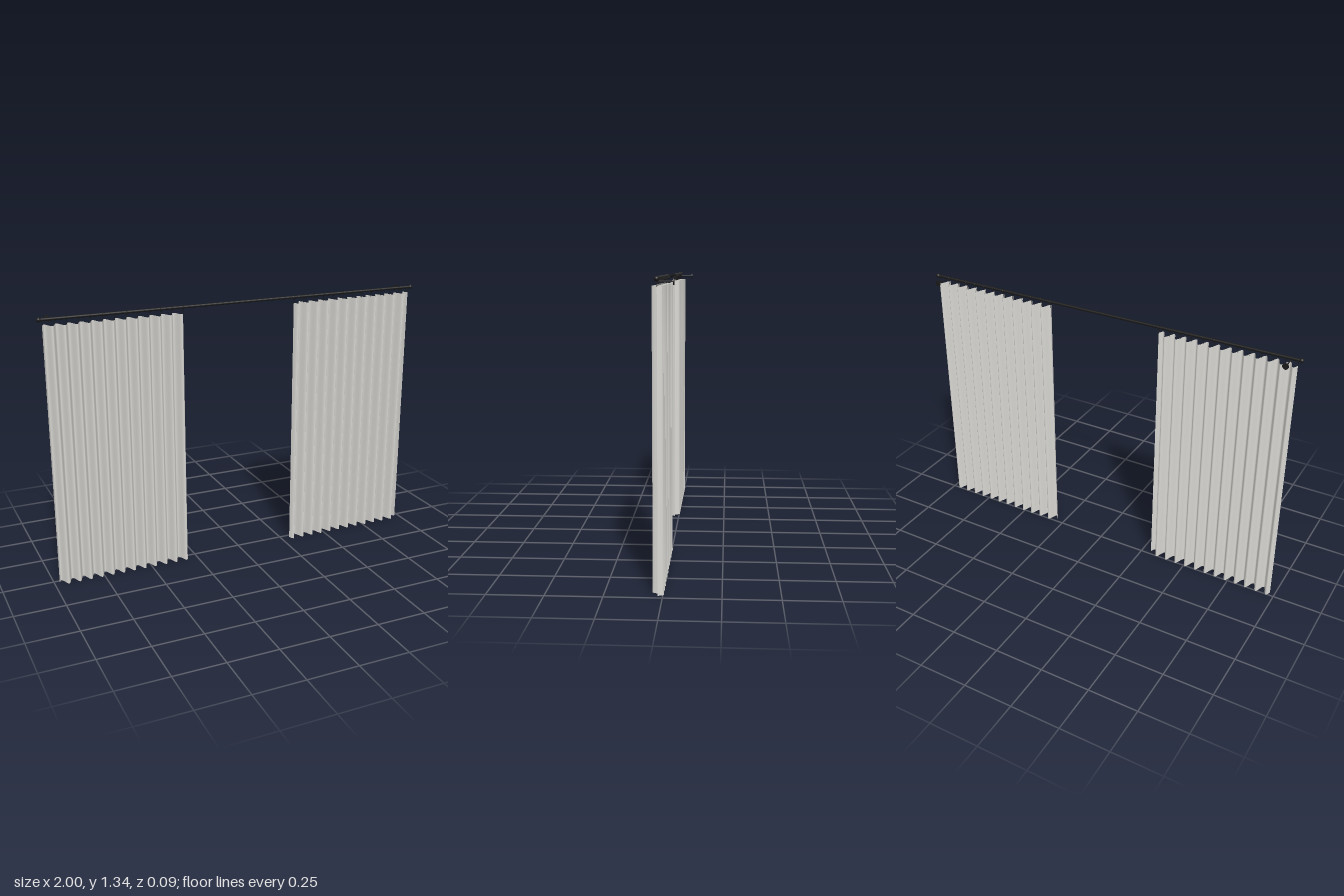
import * as THREE from 'three';

const ROD_Y = 1.324, ROD_Z = 0.021;
const INNER = 0.297, OUTER = 0.975, TOP = 1.295, WAVES = 12;
const PITCH = (OUTER - INNER) / WAVES;

const fabric = new THREE.MeshStandardMaterial({ color: 0xd8d7d2, side: THREE.DoubleSide });
fabric.name = 'pale grey fabric';
const metal = new THREE.MeshStandardMaterial({ color: 0x1a1a1a });
metal.name = 'black metal';

function add(parent, name, geometry, material, x = 0, y = 0, z = 0) {
  const mesh = new THREE.Mesh(geometry, material);
  mesh.name = name;
  mesh.position.set(x, y, z);
  parent.add(mesh);
  return mesh;
}

// Wavy sheet, mirrored by side, with a slightly fuller hem
function curtainGeometry(side) {
  const rows = [0, 0.04, 0.4, 0.85, TOP];
  const columns = WAVES * 12;
  const geometry = new THREE.PlaneGeometry(OUTER - INNER, TOP, columns, rows.length - 1);
  const p = geometry.attributes.position;
  for (let i = 0; i < p.count; i++) {
    const row = rows.length - 1 - Math.floor(i / (columns + 1));
    const x = p.getX(i) + side * (INNER + OUTER) / 2;
    const depth = row === 0 ? 0.026 : 0.0245;
    const phase = (OUTER - Math.abs(x)) / PITCH * Math.PI * 2;
    p.setXYZ(i, x, rows[row], ROD_Z - depth * Math.sin(phase));
  }
  geometry.computeVertexNormals();
  return geometry;
}

export function createModel() {
  const model = new THREE.Group();
  model.name = 'curtains on a rod';

  // Rod
  const rod = new THREE.CylinderGeometry(0.007, 0.007, 1.98, 16).rotateZ(Math.PI / 2);
  add(model, 'rod', rod, metal, 0, ROD_Y, ROD_Z);

  const finial = new THREE.SphereGeometry(0.011, 16, 12);
  const ring = new THREE.TorusGeometry(0.0095, 0.0018, 8, 20).rotateY(Math.PI / 2);
  const hook = new THREE.CylinderGeometry(0.0012, 0.0012, 0.024, 6);
  const arm = new THREE.CylinderGeometry(0.003, 0.003, 0.066, 10).rotateX(Math.PI / 2);
  const plate = new THREE.CylinderGeometry(0.015, 0.015, 0.004, 24).rotateX(Math.PI / 2);

  for (const side of [-1, 1]) {
    const half = new THREE.Group();
    half.name = side < 0 ? 'rightHalf' : 'leftHalf';
    model.add(half);

    add(half, 'curtain', curtainGeometry(side), fabric);
    add(half, 'finial', finial, metal, side * 0.989, ROD_Y, ROD_Z);

    // Wall bracket
    add(half, 'bracketArm', arm, metal, side * 0.94, 1.313, -0.012);
    add(half, 'bracketPlate', plate, metal, side * 0.94, 1.313, -0.045);

    // One ring and hook per fold
    for (let i = 0; i <= WAVES; i++) {
      const x = side * (INNER + i * PITCH);
      add(half, 'ring', ring, metal, x, ROD_Y - 0.001, ROD_Z);
      add(half, 'hook', hook, metal, x, 1.303, ROD_Z);
    }
  }
  return model;
}
